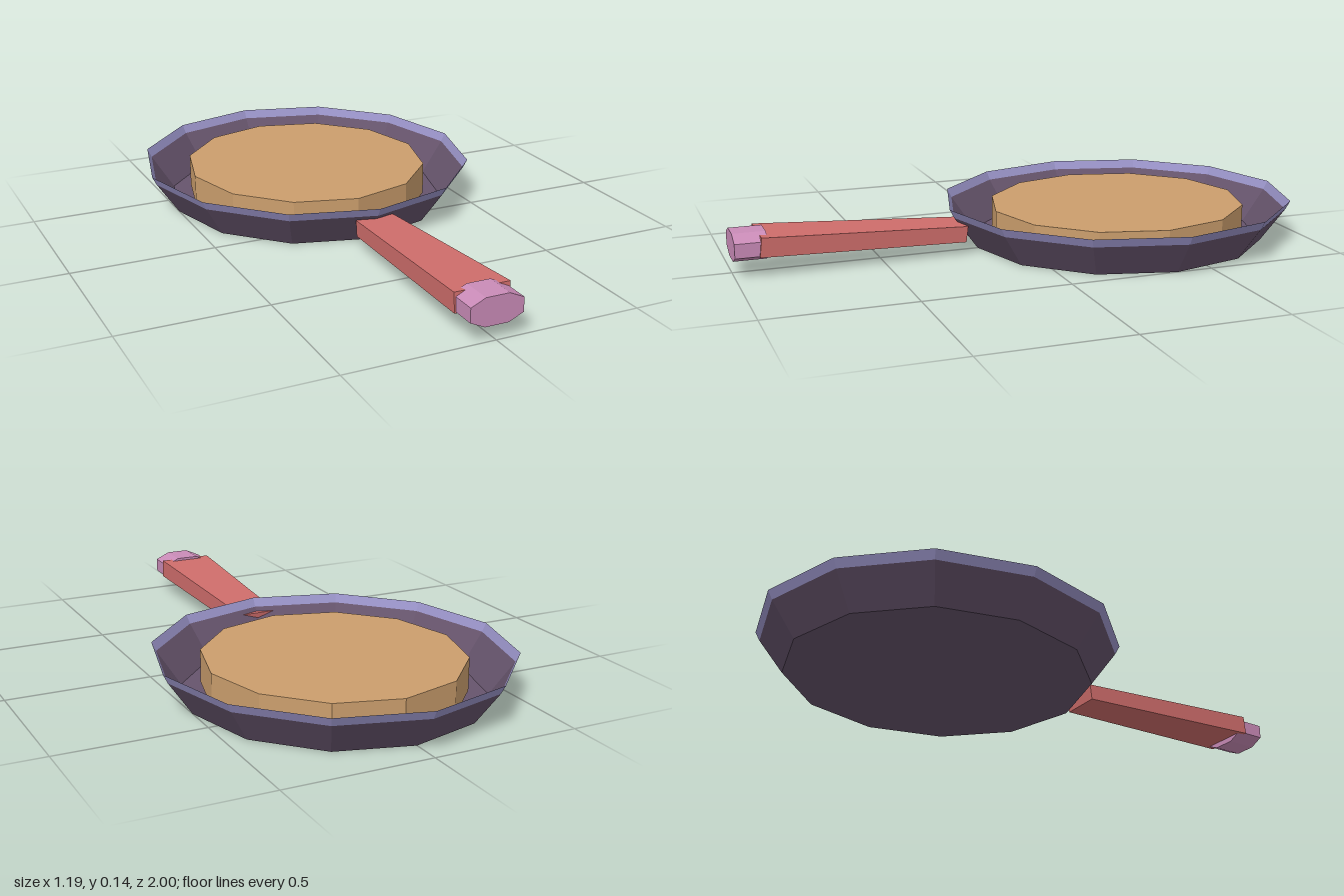
import * as THREE from 'three';

const SIDES = 12;
const PAN_Z = -0.375;
const STRETCH = 1.05; // the pan is slightly longer than wide

function material(name, color, options = {}) {
  const m = new THREE.MeshStandardMaterial({ color, flatShading: true, ...options });
  m.name = name;
  return m;
}

function add(group, name, geometry, mat) {
  const mesh = new THREE.Mesh(geometry, mat);
  mesh.name = name;
  group.add(mesh);
  return mesh;
}

// Faceted thin shell from [radius, height] pairs
function shell(points) {
  return new THREE.LatheGeometry(points.map(([r, y]) => new THREE.Vector2(r, y)), SIDES);
}

// Box tapering and rising from the pan end to the grip end
function taperedHandle() {
  const inner = { w: 0.07, top: [0.1, 0.206], bottom: [0.045, 0.213] };
  const outer = { w: 0.096, top: [0.135, 0.913], bottom: [0.069, 0.92] };
  const g = new THREE.BoxGeometry(1, 1, 1);
  const p = g.attributes.position;
  for (let i = 0; i < p.count; i++) {
    const end = p.getZ(i) > 0 ? outer : inner;
    const [y, z] = p.getY(i) > 0 ? end.top : end.bottom;
    p.setXYZ(i, Math.sign(p.getX(i)) * end.w, y, z);
  }
  g.computeVertexNormals();
  return g;
}

// Eight-sided prism for the handle end
function capPrism() {
  const corners = [[0.04, 0.047], [0.09, 0.024], [0.09, -0.024], [0.04, -0.047]];
  const outline = [...corners, ...corners.map(([x, y]) => [-x, -y])];
  const shape = new THREE.Shape(outline.map(([x, y]) => new THREE.Vector2(x, y)));
  return new THREE.ExtrudeGeometry(shape, { depth: 0.11, bevelEnabled: false });
}

export function createModel() {
  const model = new THREE.Group();
  model.name = 'fryingPan';

  const iron = material('darkPurple', 0x66546c, { side: THREE.DoubleSide });
  const rimColor = material('lavender', 0x9892c6, { side: THREE.DoubleSide });
  const tan = material('tan', 0xcb9e6d);
  const red = material('red', 0xcf6d6b);
  const pink = material('pink', 0xc98bb7);

  // Pan body, rim and contents share the stretched round plan
  const pan = new THREE.Group();
  pan.name = 'pan';
  pan.position.z = PAN_Z;
  pan.scale.z = STRETCH;
  model.add(pan);
  add(pan, 'panBody', shell([[0, 0], [0.5, 0], [0.58, 0.115]]), iron);
  add(pan, 'panRim', shell([[0.58, 0.115], [0.595, 0.145]]), rimColor);
  const food = add(pan, 'food', new THREE.CylinderGeometry(0.435, 0.435, 0.115, SIDES), tan);
  food.position.y = 0.0675;

  // Handle and its end cap
  add(model, 'handle', taperedHandle(), red);
  const cap = add(model, 'handleCap', capPrism(), pink);
  cap.position.set(0, 0.096, 0.89);

  return model;
}
